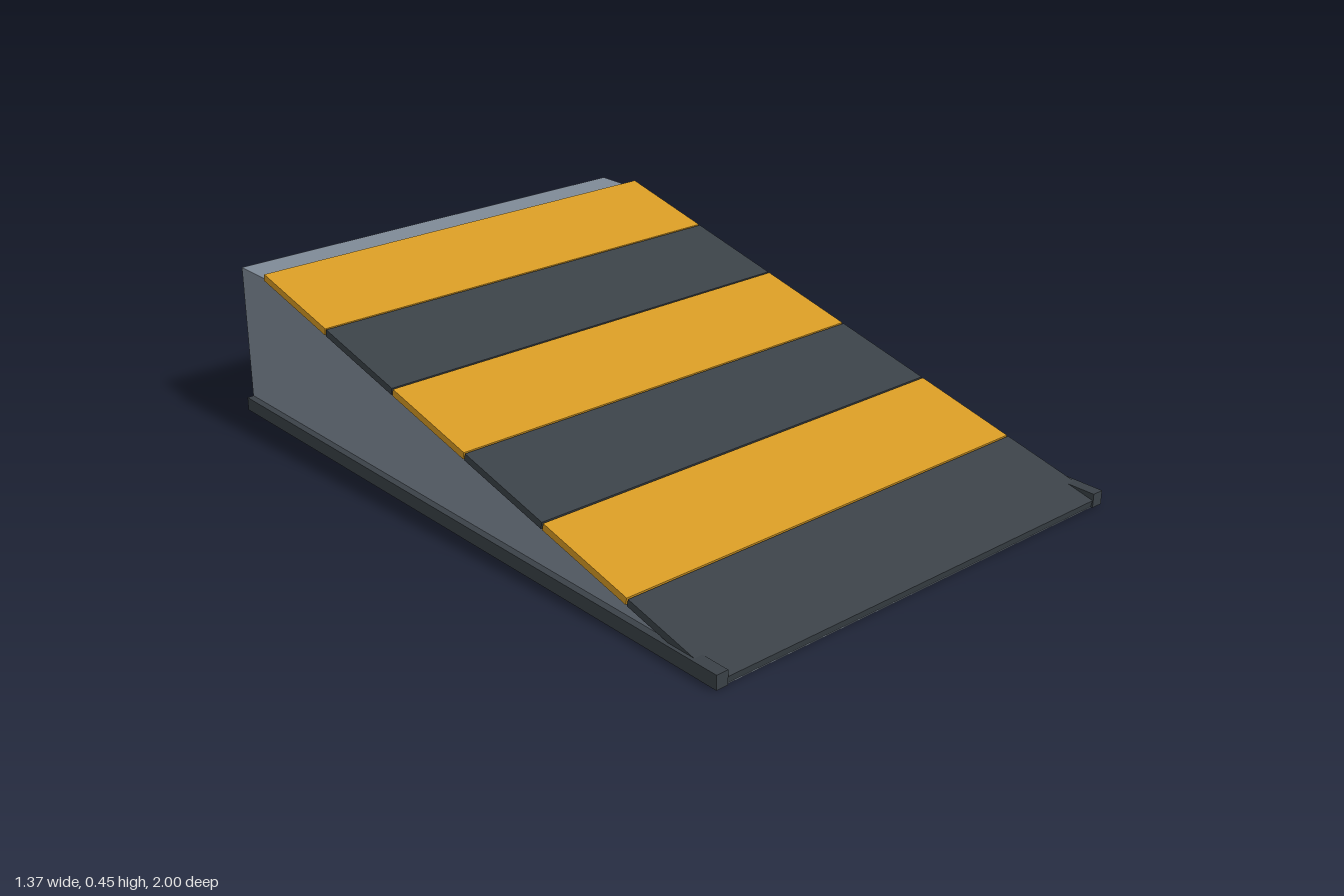
import * as THREE from 'three';

const grey = new THREE.MeshStandardMaterial({ name: 'steelGrey', color: 0x7f8a97 });
const gold = new THREE.MeshStandardMaterial({ name: 'safetyGold', color: 0xd69a24 });
const dark = new THREE.MeshStandardMaterial({ name: 'darkRubber', color: 0x3a4147 });

export function createModel() {
  const ramp = new THREE.Group();
  ramp.name = 'ramp';

  const add = (name, geometry, material, x = 0, y = 0, z = 0) => {
    const mesh = new THREE.Mesh(geometry, material);
    mesh.name = name;
    mesh.position.set(x, y, z);
    ramp.add(mesh);
    return mesh;
  };

  // Wedge body: side profile drawn in (-z, y), extruded across x
  const halfWidth = 0.665, height = 0.435, crestZ = -0.86;
  const profile = new THREE.Shape([
    new THREE.Vector2(-0.995, 0),
    new THREE.Vector2(1, 0),
    new THREE.Vector2(1, height),
    new THREE.Vector2(-crestZ, height),
  ]);
  const body = new THREE.ExtrudeGeometry(profile, { depth: halfWidth * 2, bevelEnabled: false });
  body.translate(0, 0, -halfWidth);
  body.rotateY(Math.PI / 2);
  add('wedgeBody', body, grey);

  // Striped deck plates lying on the slope, with narrow gaps between them
  const angle = Math.atan2(height, 1 - crestZ);
  const count = 6, thickness = 0.02, gap = 0.005;
  const pitch = (1 - crestZ) / count;
  const plate = new THREE.BoxGeometry(1.35, thickness, pitch / Math.cos(angle) - gap);
  for (let i = 0; i < count; i++) {
    const t = (i + 0.5) / count;
    const z = 1 - t * (1 - crestZ) - Math.sin(angle) * -thickness / 2 - 0.004;
    const y = t * height + Math.cos(angle) * thickness / 2 + 0.001;
    add(`deckPlate${i + 1}`, plate, i % 2 ? gold : dark, 0, y, z).rotation.x = angle;
  }

  // Low rails along both sides of the base
  const rail = new THREE.BoxGeometry(0.035, 0.039, 1.999);
  for (const side of [1, -1]) {
    add(side > 0 ? 'leftRail' : 'rightRail', rail, dark, side * 0.6675, 0.0205, 0.0005);
  }

  return ramp;
}
